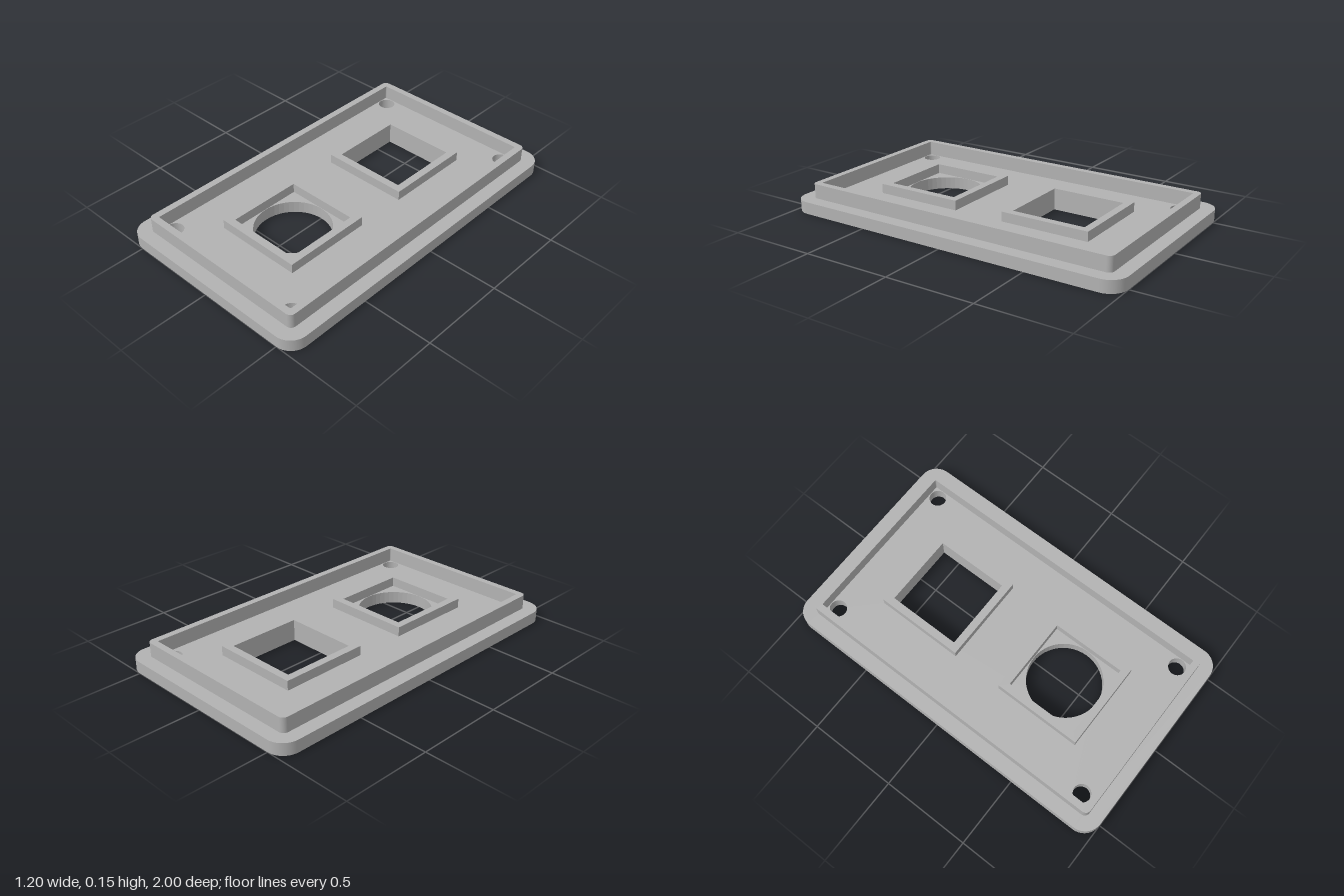
import * as THREE from 'three';

// Rectangle outline with rounded corners; (cx, cz) is its centre on the ground plane
function roundedRect(PathType, w, d, r, cx = 0, cz = 0) {
  const p = new PathType();
  const x = w / 2, y = d / 2, cy = -cz; // shape y becomes -z once laid flat
  if (r === 0) {
    p.moveTo(cx - x, cy - y).lineTo(cx + x, cy - y);
    p.lineTo(cx + x, cy + y).lineTo(cx - x, cy + y).closePath();
    return p;
  }
  p.absarc(cx + x - r, cy - y + r, r, -Math.PI / 2, 0);
  p.absarc(cx + x - r, cy + y - r, r, 0, Math.PI / 2);
  p.absarc(cx - x + r, cy + y - r, r, Math.PI / 2, Math.PI);
  p.absarc(cx - x + r, cy - y + r, r, Math.PI, Math.PI * 1.5);
  p.closePath();
  return p;
}

function circle(r, cx, cz) {
  return new THREE.Path().absarc(cx, -cz, r, 0, Math.PI * 2);
}

// Extrude a shape upward from y0 to y1
function slab(name, shape, holes, y0, y1, material) {
  shape.holes.push(...holes);
  const geo = new THREE.ExtrudeGeometry(shape, { depth: y1 - y0, bevelEnabled: false, curveSegments: 24 });
  geo.rotateX(-Math.PI / 2).translate(0, y0, 0);
  const mesh = new THREE.Mesh(geo, material);
  mesh.name = name;
  return mesh;
}

export function createModel() {
  const model = new THREE.Group();
  model.name = 'panelCover';
  const grey = new THREE.MeshStandardMaterial({ color: 0xb2b2b2 });
  grey.name = 'grey plastic';

  const plateTop = 0.068, engraving = 0.025, rimTop = 0.15, collarTop = 0.122;
  const windowZ = 0.4, windowSize = 0.42;

  // Openings that pass right through the plate
  const throughHoles = () => {
    const holes = [
      roundedRect(THREE.Path, windowSize, windowSize, 0, 0, -windowZ),
      circle(0.208, 0, windowZ),
    ];
    for (const x of [-0.433, 0.433]) for (const z of [-0.833, 0.833]) holes.push(circle(0.048, x, z));
    return holes;
  };

  // Line and arrow recessed into the underside
  const lineMark = roundedRect(THREE.Path, 0.4, 0.04, 0);
  const arrowMark = new THREE.Path();
  arrowMark.moveTo(-0.133, -0.675).lineTo(0, -0.848).lineTo(0.133, -0.675).closePath();

  // Plate in two layers, the lower one cut by the recessed marks
  const outline = () => roundedRect(THREE.Shape, 1.2, 2, 0.1);
  model.add(slab('plateUnderside', outline(), [...throughHoles(), lineMark, arrowMark], 0, engraving, grey));
  model.add(slab('plate', outline(), throughHoles(), engraving, plateTop, grey));

  // Raised rim
  model.add(slab('rim', roundedRect(THREE.Shape, 1.046, 1.846, 0.03),
    [roundedRect(THREE.Path, 0.968, 1.77, 0.006)], plateTop, rimTop, grey));

  // Square collars around the two openings
  for (const [name, z] of [['squareHoleCollar', -windowZ], ['roundHoleCollar', windowZ]]) {
    model.add(slab(name, roundedRect(THREE.Shape, 0.506, 0.506, 0, 0, z),
      [roundedRect(THREE.Path, windowSize, windowSize, 0, 0, z)], plateTop, collarTop, grey));
  }
  return model;
}
